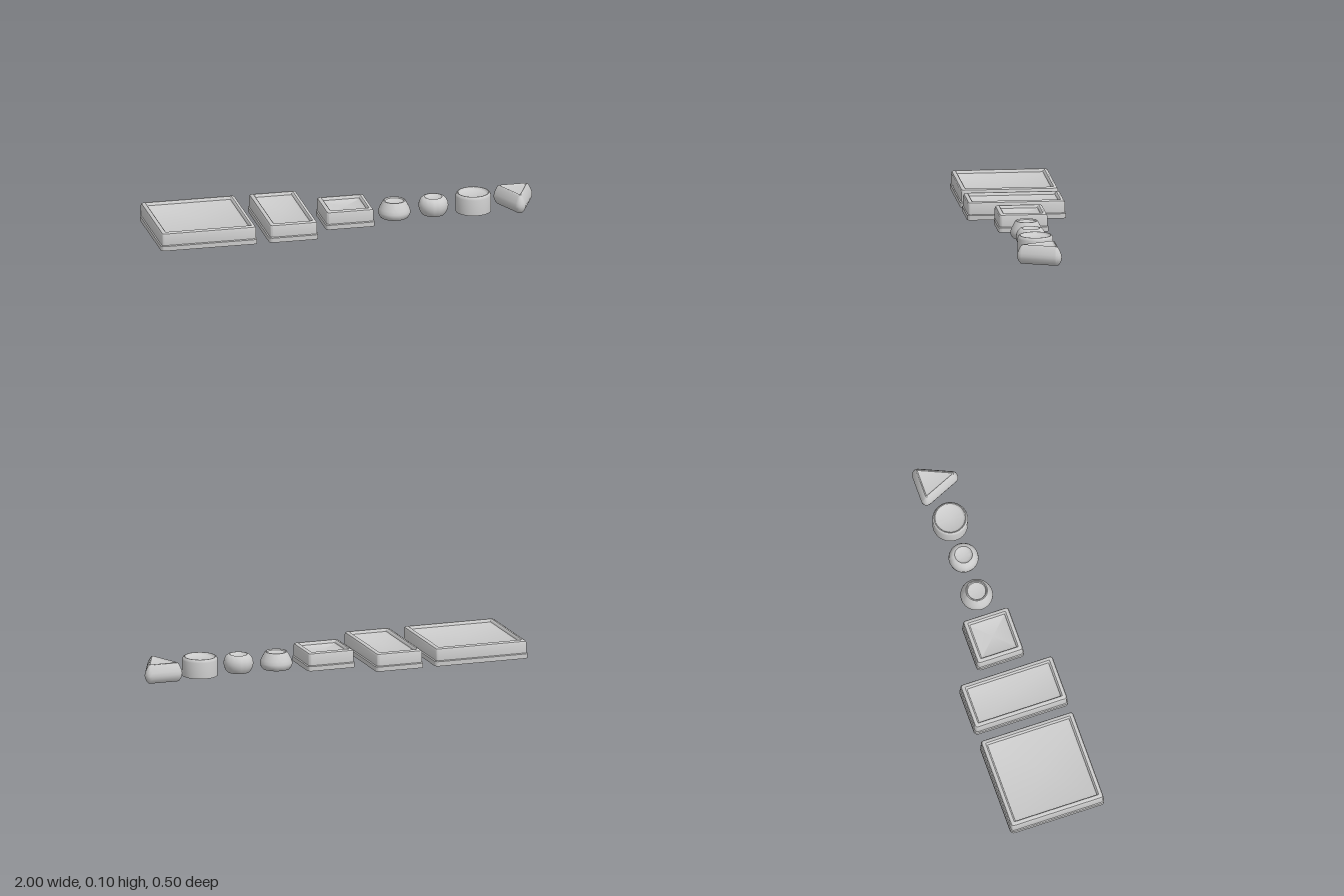
import * as THREE from 'three';
import { toCreasedNormals } from 'three/addons/utils/BufferGeometryUtils.js';

const material = new THREE.MeshStandardMaterial({ color: 0xcccccc, side: THREE.DoubleSide });

// Rounded polygon: corner centres (counter-clockwise in x,z), radius r, inset by d
function outline(centres, r, d, steps = 6) {
  const n = centres.length;
  const rho = Math.max(r - d, 0.004);
  const shrink = rho - (r - d);
  const normal = (a, b) => new THREE.Vector2(b.y - a.y, a.x - b.x).normalize();
  const points = [];
  centres.forEach((c, i) => {
    const n1 = normal(centres[(i + n - 1) % n], c);
    const n2 = normal(c, centres[(i + 1) % n]);
    const miter = n1.clone().add(n2).divideScalar(1 + n1.dot(n2));
    const p = c.clone().addScaledVector(miter, -shrink);
    const start = n1.angle();
    const sweep = Math.acos(n1.dot(n2));
    for (let k = 0; k <= steps; k++) {
      const a = start + (sweep * k) / steps;
      points.push(new THREE.Vector2(p.x + rho * Math.cos(a), p.y + rho * Math.sin(a)));
    }
  });
  return points;
}

// Skin stacked insets [inset, y] of one outline and close the top; the bottom stays open
function loft(centres, r, profile, crease) {
  const positions = [];
  const index = [];
  let count = 0;
  profile.forEach(([d, y], j) => {
    const ring = outline(centres, r, d);
    count = ring.length;
    ring.forEach((p) => positions.push(p.x, y, p.y));
    if (j === 0) return;
    for (let i = 0; i < count; i++) {
      const a = (j - 1) * count + i;
      const b = (j - 1) * count + ((i + 1) % count);
      index.push(a, a + count, b, b, a + count, b + count);
    }
  });
  const base = (profile.length - 1) * count;
  const mid = positions.length / 3;
  const centre = centres.reduce((s, c) => s.add(c), new THREE.Vector2()).divideScalar(centres.length);
  positions.push(centre.x, profile[profile.length - 1][1], centre.y);
  for (let i = 0; i < count; i++) index.push(mid, base + ((i + 1) % count), base + i);
  const geometry = new THREE.BufferGeometry();
  geometry.setAttribute('position', new THREE.Float32BufferAttribute(positions, 3));
  geometry.setIndex(index);
  return toCreasedNormals(geometry, crease);
}

function addMesh(group, name, geometry, x) {
  const mesh = new THREE.Mesh(geometry, material);
  mesh.name = name;
  mesh.position.x = x;
  group.add(mesh);
}

export function createModel() {
  const group = new THREE.Group();
  group.name = 'keySet';

  // Rectangular keys: stepped skirt, chamfered rim, recessed panel
  const keyProfile = [
    [0, 0], [0, 0.024], [0.005, 0.028], [0.005, 0.08], [0.009, 0.088], [0.018, 0.093],
    [0.026, 0.093], [0.031, 0.088], [0.034, 0.079], [0.043, 0.074],
  ];
  const keys = [
    ['largeSquareKey', -0.75, 0.25, 0.252],
    ['longKey', -0.31, 0.128, 0.252],
    ['smallSquareKey', 0.012, 0.127, 0.127],
  ];
  for (const [name, x, hx, hz] of keys) {
    const r = 0.02;
    const w = hx - r;
    const h = hz - r;
    const corners = [[w, -h], [w, h], [-w, h], [-w, -h]].map((c) => new THREE.Vector2(...c));
    addMesh(group, name, loft(corners, r, keyProfile, 0.6), x);
  }

  // Round buttons: [radius, y] profiles with a shallow dish on top
  const buttons = [
    ['flaredButton', 0.267, [
      [0.07, 0], [0.077, 0.01], [0.082, 0.022], [0.082, 0.032], [0.077, 0.048],
      [0.068, 0.065], [0.06, 0.08], [0.055, 0.087], [0.05, 0.088], [0.046, 0.082], [0.035, 0.079], [0, 0.077],
    ]],
    ['roundButton', 0.47, [
      [0.057, 0], [0.066, 0.012], [0.073, 0.028], [0.076, 0.046], [0.073, 0.064],
      [0.065, 0.079], [0.054, 0.089], [0.045, 0.091], [0.041, 0.086], [0.032, 0.082], [0, 0.08],
    ]],
    ['cylinderButton', 0.677, [
      [0.09, 0], [0.09, 0.082], [0.087, 0.092], [0.081, 0.098],
      [0.077, 0.098], [0.073, 0.09], [0.066, 0.086], [0, 0.084],
    ]],
  ];
  for (const [name, x, profile] of buttons) {
    const lathe = new THREE.LatheGeometry(profile.map((p) => new THREE.Vector2(...p)), 48);
    addMesh(group, name, toCreasedNormals(lathe, 0.65), x);
  }

  // Triangular button: bulging sides, tip towards the front
  const triangle = [[-0.07, -0.073], [0.07, -0.073], [0, 0.088]].map((c) => new THREE.Vector2(...c));
  const triangleProfile = [
    [0.018, 0], [0.009, 0.011], [0.002, 0.026], [0, 0.04], [0.003, 0.055],
    [0.01, 0.073], [0.018, 0.088], [0.023, 0.095], [0.028, 0.097], [0.032, 0.091], [0.036, 0.089],
  ];
  addMesh(group, 'triangleButton', loft(triangle, 0.03, triangleProfile, 0.6), 0.9);

  return group;
}
